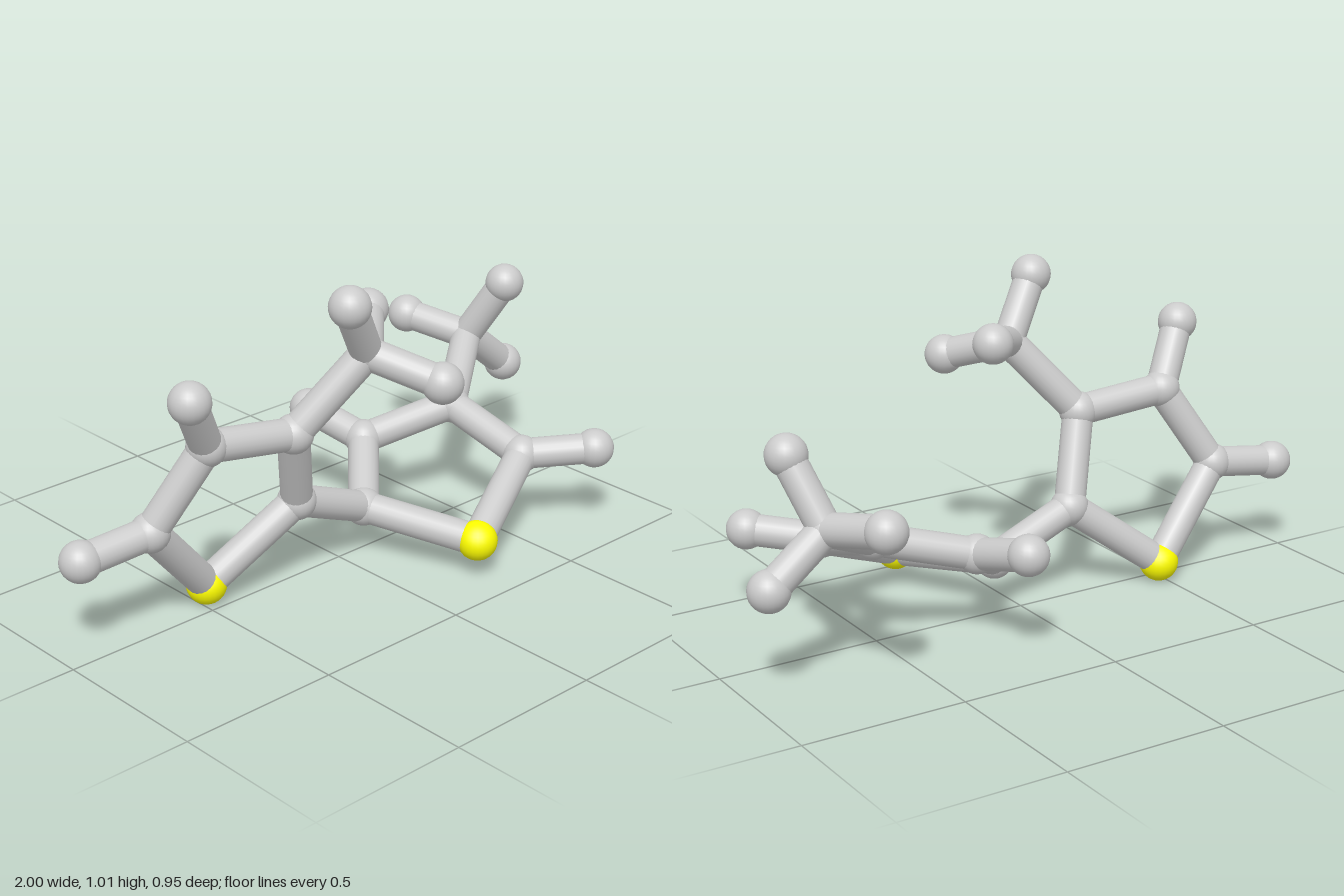
import * as THREE from 'three';

const BALL = 0.061, RING = 0.059, HUB = 0.052, ROD = 0.048;

// Joints: [x, y, z, radius]
const joints = {
  // left-hand ring
  sulfurA: [-0.48, 0.061, -0.05, BALL],
  ringA2: [-0.2, 0.27, 0.035, RING],
  ringA3: [-0.29, 0.54, 0.125, RING],
  ringA4: [-0.575, 0.575, 0.085, RING],
  ringA5: [-0.72, 0.33, 0.005, RING],
  hydrogenA4: [-0.685, 0.76, 0.155, BALL],
  hydrogenA5: [-0.939, 0.305, -0.025, BALL],
  methylA: [-0.1, 0.765, 0.225, HUB],
  methylA1: [-0.217, 0.948, 0.28, BALL],
  methylA2: [0.053, 0.815, 0.067, BALL],
  methylA3: [0.015, 0.698, 0.413, BALL],
  // right-hand ring
  sulfurB: [0.228, 0.113, 0.363, BALL],
  ringB2: [0.075, 0.157, 0.03, RING],
  ringB3: [0.25, 0.27, -0.157, RING],
  ringB4: [0.53, 0.338, -0.05, RING],
  ringB5: [0.55, 0.255, 0.237, RING],
  hydrogenB3: [0.205, 0.322, -0.362, BALL],
  hydrogenB5: [0.72, 0.272, 0.385, BALL],
  methylB: [0.765, 0.465, -0.215, HUB],
  methylB1: [0.822, 0.658, -0.107, BALL],
  methylB2: [0.939, 0.322, -0.212, BALL],
  methylB3: [0.686, 0.503, -0.413, BALL],
};

const rods = [['ringA2', 'ringB2']];
for (const r of ['A', 'B']) {
  const ring = [`sulfur${r}`, ...[2, 3, 4, 5].map((i) => `ring${r}${i}`)];
  ring.forEach((n, i) => rods.push([n, ring[(i + 1) % 5]]));
  for (const i of [1, 2, 3]) rods.push([`methyl${r}`, `methyl${r}${i}`]);
  rods.push([`ring${r}5`, `hydrogen${r}5`]);
}
rods.push(['ringA3', 'methylA'], ['ringA4', 'hydrogenA4'], ['ringB4', 'methylB'], ['ringB3', 'hydrogenB3']);

export function createModel() {
  const group = new THREE.Group();
  const grey = new THREE.MeshStandardMaterial({ color: 0xcccccc });
  const yellow = new THREE.MeshStandardMaterial({ color: 0xffff00 });
  const up = new THREE.Vector3(0, 1, 0);

  // Atom balls, the two sulfur ones yellow
  for (const [name, [x, y, z, r]] of Object.entries(joints)) {
    const ball = new THREE.Mesh(new THREE.SphereGeometry(r, 24, 16), name.startsWith('sulfur') ? yellow : grey);
    ball.position.set(x, y, z);
    ball.name = name;
    group.add(ball);
  }

  // Bond rods between joined atoms
  for (const [from, to] of rods) {
    const a = new THREE.Vector3(...joints[from].slice(0, 3));
    const b = new THREE.Vector3(...joints[to].slice(0, 3));
    const rod = new THREE.Mesh(new THREE.CylinderGeometry(ROD, ROD, a.distanceTo(b), 20, 1, true), grey);
    rod.position.copy(a).add(b).multiplyScalar(0.5);
    rod.quaternion.setFromUnitVectors(up, b.sub(a).normalize());
    rod.name = `bond ${from} to ${to}`;
    group.add(rod);
  }
  return group;
}
